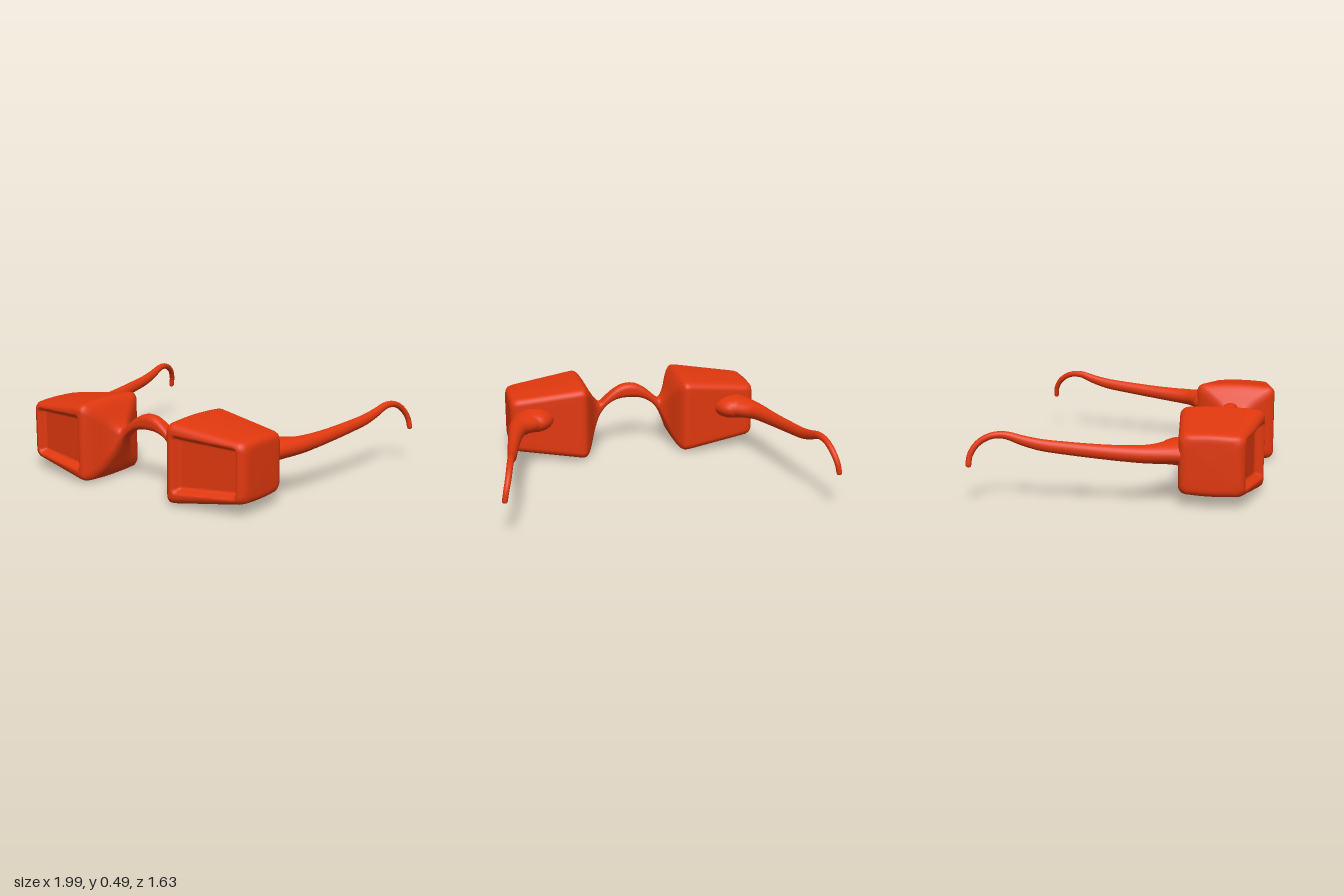
import * as THREE from 'three';

const red = new THREE.MeshStandardMaterial({ color: 0xe0380e });
const { lerp, smoothstep } = THREE.MathUtils;

// Skin over closed rings, each ordered counter-clockwise about the travel direction
function loft(rings, name) {
  const n = rings[0].length, index = [];
  for (let i = 0; i < rings.length - 1; i++) {
    for (let j = 0; j < n; j++) {
      const k = (j + 1) % n;
      const a = i * n + j, b = i * n + k, c = b + n, d = a + n;
      index.push(a, b, c, a, c, d);
    }
  }
  const g = new THREE.BufferGeometry();
  g.setAttribute('position', new THREE.Float32BufferAttribute(rings.flat().flatMap(p => [p.x, p.y, p.z]), 3));
  g.setIndex(index);
  g.computeVertexNormals();
  const mesh = new THREE.Mesh(g, red);
  mesh.name = name;
  return mesh;
}

// Outline of bridge and lens block: x, bottom, top, back, front
const stations = [
  [0, 0.342, 0.437, 0.525, 0.61],
  [0.05, 0.339, 0.43, 0.525, 0.61],
  [0.1, 0.328, 0.402, 0.525, 0.61],
  [0.15, 0.3, 0.36, 0.525, 0.61],
  [0.19, 0.255, 0.32, 0.525, 0.61],
  [0.21, 0.215, 0.318, 0.52, 0.615],
  [0.25, 0.125, 0.365, 0.475, 0.66],
  [0.29, 0.035, 0.44, 0.38, 0.755],
  [0.32, 0.004, 0.484, 0.322, 0.808],
  [0.345, 0, 0.495, 0.313, 0.815],
  [0.38, 0.005, 0.49, 0.316, 0.81],
  [0.77, 0.064, 0.436, 0.367, 0.749],
  [0.792, 0.071, 0.429, 0.376, 0.738],
  [0.806, 0.083, 0.417, 0.39, 0.722],
  [0.813, 0.1, 0.4, 0.41, 0.7],
  [0.815, 0.12, 0.38, 0.43, 0.68],
  [0.816, 0.25, 0.25, 0.55, 0.55],
];

function outlineAt(x) {
  const a = Math.abs(x);
  let i = 0;
  while (i < stations.length - 2 && a > stations[i + 1][0]) i++;
  const p = stations[i], q = stations[i + 1];
  const t = (a - p[0]) / (q[0] - p[0]);
  return [1, 2, 3, 4].map(k => lerp(p[k], q[k], t));
}

// Averaging neighbouring outlines softens the bends
function softOutline(x) {
  if (Math.abs(x) > 0.765) return outlineAt(x);
  const all = [-0.016, -0.008, 0, 0.008, 0.016].map(d => outlineAt(x + d));
  return [0, 1, 2, 3].map(k => all.reduce((s, o) => s + o[k], 0) / 5);
}

// Rounded rectangle in the y-z plane, with a crowned top and a sunken window in front
function frameRing(x) {
  const [y0, y1, z0, z1] = softOutline(x);
  const cy = (y0 + y1) / 2, cz = (z0 + z1) / 2, h = (y1 - y0) / 2, w = (z1 - z0) / 2;
  const r = Math.min(0.042, 0.8 * Math.min(h, w));
  const a = Math.abs(x), pts = [];
  const windowHalf = lerp(0.173, 0.148, (a - 0.36) / 0.41);
  const across = smoothstep(a, 0.355, 0.39) * (1 - smoothstep(a, 0.735, 0.77));
  const add = (y, z) => {
    const u = w > 0 ? z / w : 0;
    const py = y * (1 - 0.06 * u * u * smoothstep(a, 0.25, 0.35));
    const inside = 1 - smoothstep(Math.abs(py), windowHalf - 0.032, windowHalf);
    const sink = z > 0 ? 0.05 * across * inside : 0;
    pts.push(new THREE.Vector3(x, cy + py, cz + z - sink));
  };
  // corners in order: top front, bottom front, bottom back, top back
  const corners = [[1, 1], [-1, 1], [-1, -1], [1, -1]];
  const spans = [44, 8, 8, 8];
  corners.forEach(([sy, sz], c) => {
    const py = sy * (h - r), pz = sz * (w - r);
    for (let k = 0; k <= 6; k++) {
      const t = (c + k / 6) * Math.PI / 2;
      add(py + r * Math.cos(t), pz + r * Math.sin(t));
    }
    const [ny, nz] = corners[(c + 1) % 4];
    const t = (c + 1) * Math.PI / 2;
    for (let k = 1; k < spans[c]; k++) {
      const f = k / spans[c];
      add(lerp(py, ny * (h - r), f) + r * Math.cos(t), lerp(pz, nz * (w - r), f) + r * Math.sin(t));
    }
  });
  return pts;
}

function buildFront() {
  const half = [];
  for (let i = 1; i <= 110; i++) half.push(0.007 * i);
  half.push(0.782, 0.792, 0.8, 0.806, 0.81, 0.813, 0.815, 0.816);
  const xs = [...half.map(x => -x).reverse(), 0, ...half];
  return loft(xs.map(frameRing), 'lensBlocksAndBridge');
}

// Side arm centre line: x, y, z, half width, half height
const armPath = [
  [0.66, 0.295, 0.42, 0.14, 0.085],
  [0.685, 0.295, 0.355, 0.14, 0.078],
  [0.727, 0.297, 0.3, 0.1, 0.064],
  [0.785, 0.299, 0.2, 0.061, 0.053],
  [0.815, 0.304, 0.08, 0.046, 0.047],
  [0.84, 0.314, -0.06, 0.038, 0.042],
  [0.866, 0.33, -0.23, 0.032, 0.038],
  [0.889, 0.35, -0.4, 0.027, 0.034],
  [0.902, 0.374, -0.5, 0.024, 0.029],
  [0.917, 0.404, -0.6, 0.02, 0.022],
  [0.932, 0.398, -0.68, 0.019, 0.019],
  [0.949, 0.356, -0.75, 0.018, 0.018],
  [0.968, 0.293, -0.79, 0.017, 0.017],
  [0.982, 0.222, -0.799, 0.016, 0.016],
];

function buildArm(side) {
  const curve = new THREE.CatmullRomCurve3(armPath.map(p => new THREE.Vector3(side * p[0], p[1], p[2])));
  const size = new THREE.CatmullRomCurve3(armPath.map(p => new THREE.Vector3(p[3], p[4], 0)));
  const steps = [];
  for (let i = 0; i <= 90; i++) steps.push([i / 90 * 0.985, 1]);
  steps.push([0.99, 0.94], [0.995, 0.75], [0.998, 0.5], [1, 0]);
  const rings = steps.map(([t, s]) => {
    const p = curve.getPoint(t), e = size.getPoint(t), T = curve.getTangent(t);
    const U = new THREE.Vector3(1, 0, 0).addScaledVector(T, -T.x).normalize();
    const V = T.clone().cross(U);
    return Array.from({ length: 24 }, (_, j) => {
      const a = j / 24 * Math.PI * 2;
      return p.clone().addScaledVector(U, s * e.x * Math.cos(a)).addScaledVector(V, s * e.y * Math.sin(a));
    });
  });
  return loft(rings, side > 0 ? 'leftArm' : 'rightArm');
}

export function createModel() {
  const group = new THREE.Group();
  group.name = 'glasses';
  group.add(buildFront(), buildArm(1), buildArm(-1));
  return group;
}
